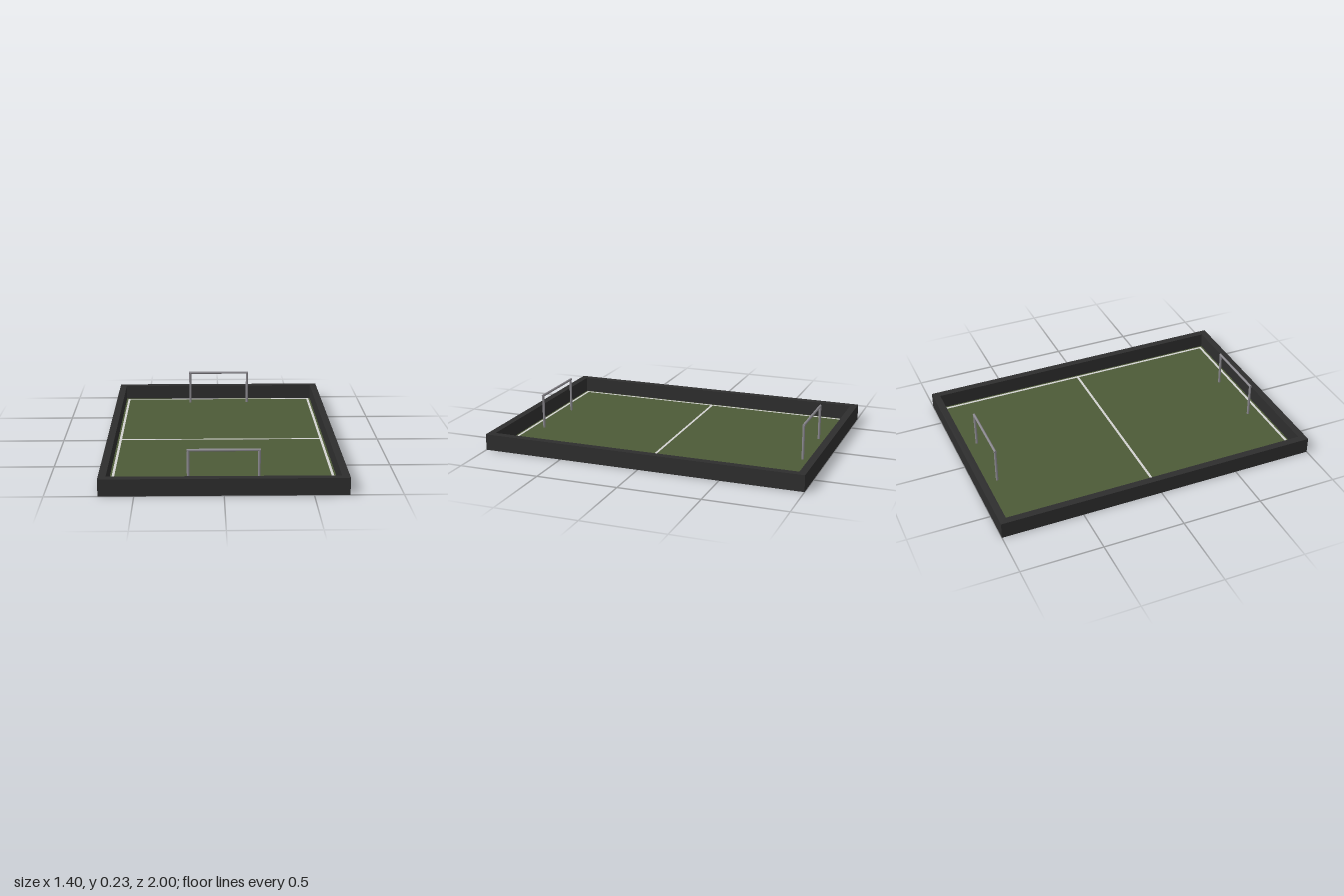
import * as THREE from 'three';

export function createModel() {
  const model = new THREE.Group();
  const mat = (name, color) => {
    const m = new THREE.MeshStandardMaterial({ color });
    m.name = name;
    return m;
  };
  const wallMat = mat('dark wall', 0x2e2e2e);
  const turfMat = mat('green turf', 0x4d5a37);
  const lineMat = mat('white line', 0xd2d2d0);
  const metalMat = mat('grey metal', 0x8c8a90);

  const add = (parent, name, geometry, material, x, y, z) => {
    const mesh = new THREE.Mesh(geometry, material);
    mesh.name = name;
    mesh.position.set(x, y, z);
    parent.add(mesh);
    return mesh;
  };
  const box = (w, h, d) => new THREE.BoxGeometry(w, h, d);

  // Surrounding wall: one rectangular frame, extruded upward
  const W = 0.7, L = 1, T = 0.044, H = 0.1;
  const rect = (Type, w, l) => new Type([
    new THREE.Vector2(-w, -l), new THREE.Vector2(w, -l),
    new THREE.Vector2(w, l), new THREE.Vector2(-w, l),
  ]);
  const frame = rect(THREE.Shape, W, L);
  frame.holes.push(rect(THREE.Path, W - T, L - T));
  const wallGeo = new THREE.ExtrudeGeometry(frame, { depth: H, bevelEnabled: false });
  wallGeo.rotateX(-Math.PI / 2);
  add(model, 'wall', wallGeo, wallMat, 0, 0, 0);

  // Thin playing surface
  add(model, 'field', box(2 * (W - T), 0.004, 2 * (L - T)), turfMat, 0, 0.003, 0);

  // Painted lines, showing on both faces of the field
  const lines = new THREE.Group();
  lines.name = 'fieldLines';
  model.add(lines);
  const lw = 0.015, lx = 0.638, lz = 0.938, lh = 0.006;
  for (const s of [-1, 1]) {
    add(lines, 'sideLine', box(lw, lh, 2 * lz + lw), lineMat, s * lx, 0.003, 0);
    add(lines, 'endLine', box(2 * lx - lw, lh, lw), lineMat, 0, 0.003, s * lz);
  }
  add(lines, 'centreLine', box(2 * lx - lw, lh, lw), lineMat, 0, 0.003, 0);

  // Goals: two posts and a crossbar at each end
  const r = 0.008, barY = 0.22, postX = 0.2;
  for (const s of [-1, 1]) {
    const goal = new THREE.Group();
    goal.name = s > 0 ? 'frontGoal' : 'backGoal';
    goal.position.z = s * 0.86;
    for (const side of [-1, 1]) {
      add(goal, 'post', new THREE.CylinderGeometry(r, r, barY - 0.003, 8), metalMat,
        side * postX, (barY + 0.003) / 2, 0);
    }
    const bar = new THREE.CylinderGeometry(r, r, 2 * (postX + r), 8);
    bar.rotateZ(Math.PI / 2);
    add(goal, 'crossbar', bar, metalMat, 0, barY, 0);
    model.add(goal);
  }
  return model;
}
